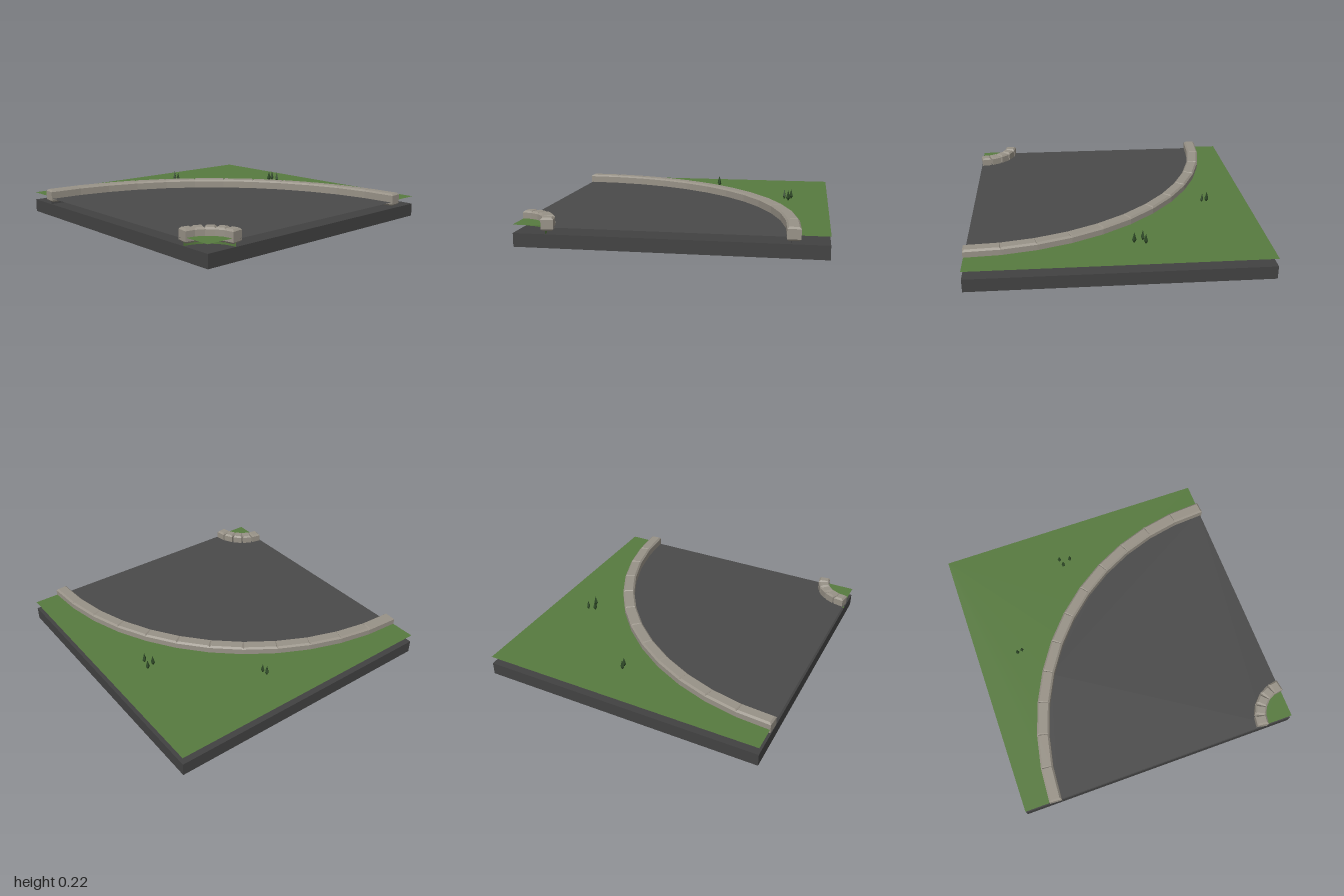
import * as THREE from 'three';

const SIZE = 1.99;       // side of the square tile
const INNER = 0.215;     // inner road radius
const OUTER = 1.758;     // outer road radius
const TOP = 0.145;       // height of the lawns

const mat = (color, extra = {}) => new THREE.MeshStandardMaterial({ color, flatShading: true, ...extra });

function add(parent, name, geometry, material, x = 0, y = 0, z = 0) {
  const mesh = new THREE.Mesh(geometry, material);
  mesh.name = name;
  mesh.position.set(x, y, z);
  parent.add(mesh);
  return mesh;
}

// Rectangular block with a single chamfer on all edges, centred on the origin
function chamferedBlock(length, height, width, b) {
  const x = length / 2 - b, y = width / 2 - b;
  const shape = new THREE.Shape([[-x, -y], [x, -y], [x, y], [-x, y]].map(p => new THREE.Vector2(...p)));
  return new THREE.ExtrudeGeometry(shape, {
    depth: height - 2 * b, bevelEnabled: true, bevelSegments: 1, bevelSize: b, bevelThickness: b,
  }).center().rotateX(-Math.PI / 2);
}

export function createModel() {
  const group = new THREE.Group();
  const slab = mat(0x424242);
  const asphalt = mat(0x4a4a4a, { side: THREE.DoubleSide });
  const grass = mat(0x577a3f, { side: THREE.DoubleSide });
  const stone = mat(0x989287);
  const blade = mat(0x2f4a28);

  // Base slab
  add(group, 'baseSlab', new THREE.BoxGeometry(SIZE, 0.09, SIZE), slab, 0.005, 0.045, -0.005);

  // Everything curved turns around the front right corner of the tile
  const corner = new THREE.Group();
  corner.name = 'curve';
  corner.position.set(-0.99, 0, 0.99);
  group.add(corner);

  // Thin sheets above the slab: road ring, corner lawn and outer lawn
  const road = new THREE.Shape();
  road.absarc(0, 0, OUTER, 0, Math.PI / 2, false);
  road.absarc(0, 0, INNER, Math.PI / 2, 0, true);
  const innerLawn = new THREE.Shape();
  innerLawn.absarc(0, 0, INNER, 0, Math.PI / 2, false);
  innerLawn.lineTo(0, 0);
  const outerLawn = new THREE.Shape();
  outerLawn.moveTo(SIZE, 0);
  outerLawn.lineTo(SIZE, SIZE);
  outerLawn.lineTo(0, SIZE);
  outerLawn.absarc(0, 0, OUTER, Math.PI / 2, 0, true);
  const sheet = (name, shape, material, y) =>
    add(corner, name, new THREE.ShapeGeometry(shape, 24).rotateX(-Math.PI / 2), material, 0, y, 0);
  sheet('road', road, asphalt, 0.135);
  sheet('innerLawn', innerLawn, grass, TOP);
  sheet('outerLawn', outerLawn, grass, TOP);

  // Upright edges below the kerbs
  const edge = (name, radius, material) => add(corner, name,
    new THREE.CylinderGeometry(radius, radius, 0.045, 24, 1, true, Math.PI / 2, Math.PI / 2), material, 0, 0.1125, 0);
  edge('innerLawnEdge', INNER, grass);
  edge('roadEdge', OUTER, asphalt);

  // Kerb stones along both edges of the road
  const kerb = (name, count, radius, length, width) => {
    const geometry = chamferedBlock(length, 0.088, width, 0.012);
    for (let i = 0; i < count; i++) {
      const a = (i + 0.5) / count * Math.PI / 2;
      const m = add(corner, name, geometry, stone, radius * Math.cos(a), 0.152, -radius * Math.sin(a));
      m.rotation.y = a + Math.PI / 2;
    }
  };
  kerb('outerKerbStone', 12, 1.768, 0.244, 0.086);
  kerb('innerKerbStone', 5, 0.226, 0.071, 0.08);

  // Small pointed grass tufts
  const tuft = new THREE.LatheGeometry(
    [[0.004, 0], [0.015, 0.02], [0, 0.075]].map(p => new THREE.Vector2(...p)), 4);
  [[0.12, -0.71, 1], [0.127, -0.675, 0.9], [0.68, -0.17, 1], [0.73, -0.185, 0.95], [0.71, -0.11, 1]]
    .forEach(([x, z, s], i) => {
      const m = add(group, 'grassTuft', tuft, blade, x, TOP, z);
      m.scale.setScalar(s);
      m.rotation.y = i * 0.4;
    });

  return group;
}
